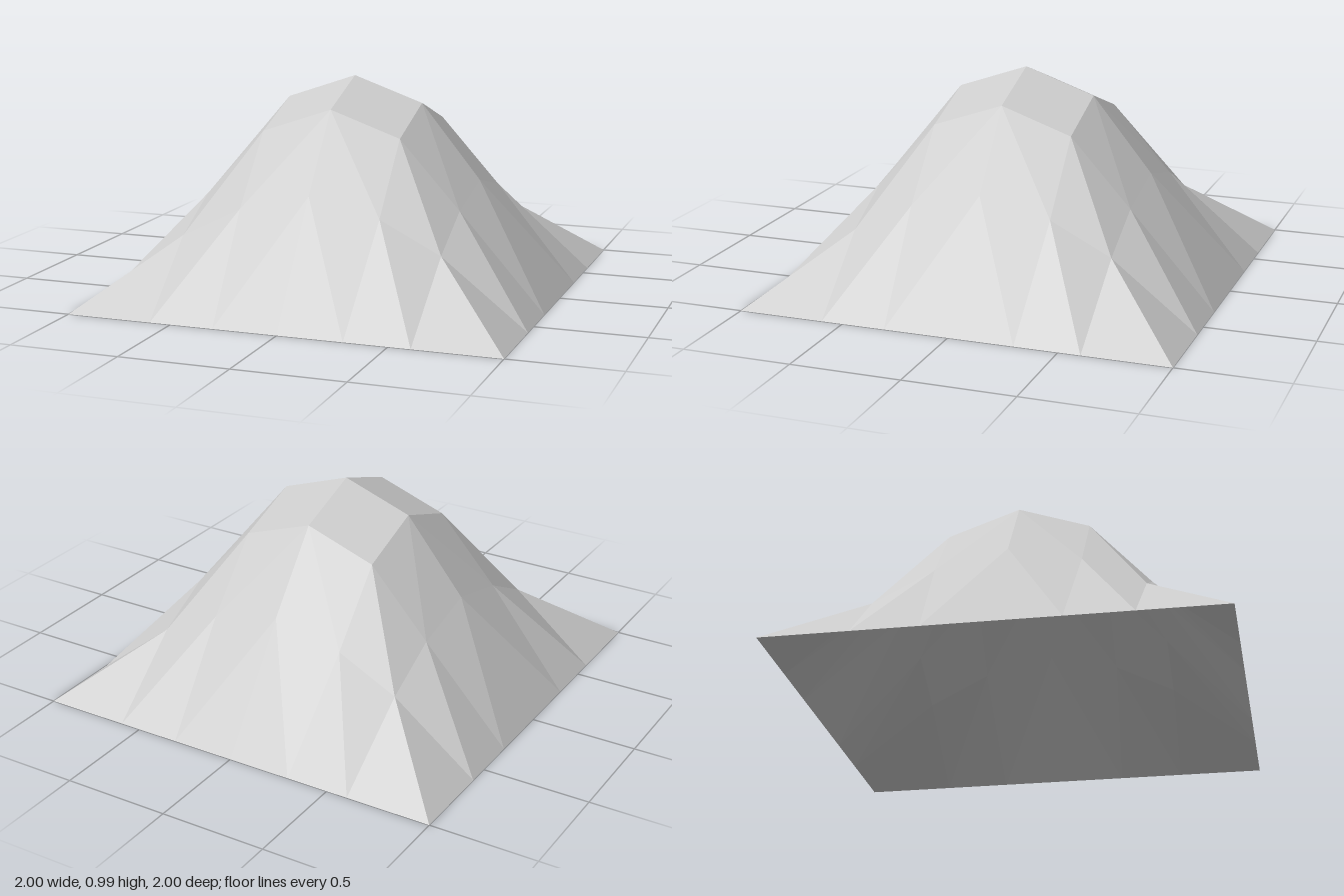
import * as THREE from 'three';

// Distance from the axis for each grid step; the ground row is spaced a little differently
const INNER = [0, 0.33, 0.612];
const OUTER = [0, 0.3, 0.6, 1];
// Heights of one quadrant, by grid step in x and z
const HEIGHT = [
  [0.99, 0.875, 0.53, 0],
  [0.875, 0.76, 0.45, 0],
  [0.53, 0.45, 0.308, 0],
  [0, 0, 0, 0],
];

function point(i, j, sx, sz) {
  const steps = Math.max(i, j) === 3 ? OUTER : INNER;
  return [sx * steps[i], HEIGHT[i][j], sz * steps[j]];
}

// One quarter of the hill, each cell split along its outward diagonal
function addQuadrant(positions, sx, sz) {
  const addTriangle = (a, b, c) => {
    const corners = sx * sz > 0 ? [a, b, c] : [a, c, b];
    for (const [i, j] of corners) positions.push(...point(i, j, sx, sz));
  };
  for (let i = 0; i < 3; i++) {
    for (let j = 0; j < 3; j++) {
      addTriangle([i, j], [i + 1, j + 1], [i + 1, j]);
      addTriangle([i, j], [i, j + 1], [i + 1, j + 1]);
    }
  }
}

export function createModel() {
  const group = new THREE.Group();
  group.name = 'hill';

  const stone = new THREE.MeshStandardMaterial({
    color: 0xcccccc,
    flatShading: true,
    side: THREE.DoubleSide,
  });
  stone.name = 'light grey';

  // Open faceted shell, mirrored into four quadrants
  const positions = [];
  for (const sx of [-1, 1]) {
    for (const sz of [-1, 1]) addQuadrant(positions, sx, sz);
  }
  const geometry = new THREE.BufferGeometry();
  geometry.setAttribute('position', new THREE.Float32BufferAttribute(positions, 3));
  geometry.computeVertexNormals();

  const shell = new THREE.Mesh(geometry, stone);
  shell.name = 'hillSurface';
  group.add(shell);
  return group;
}
